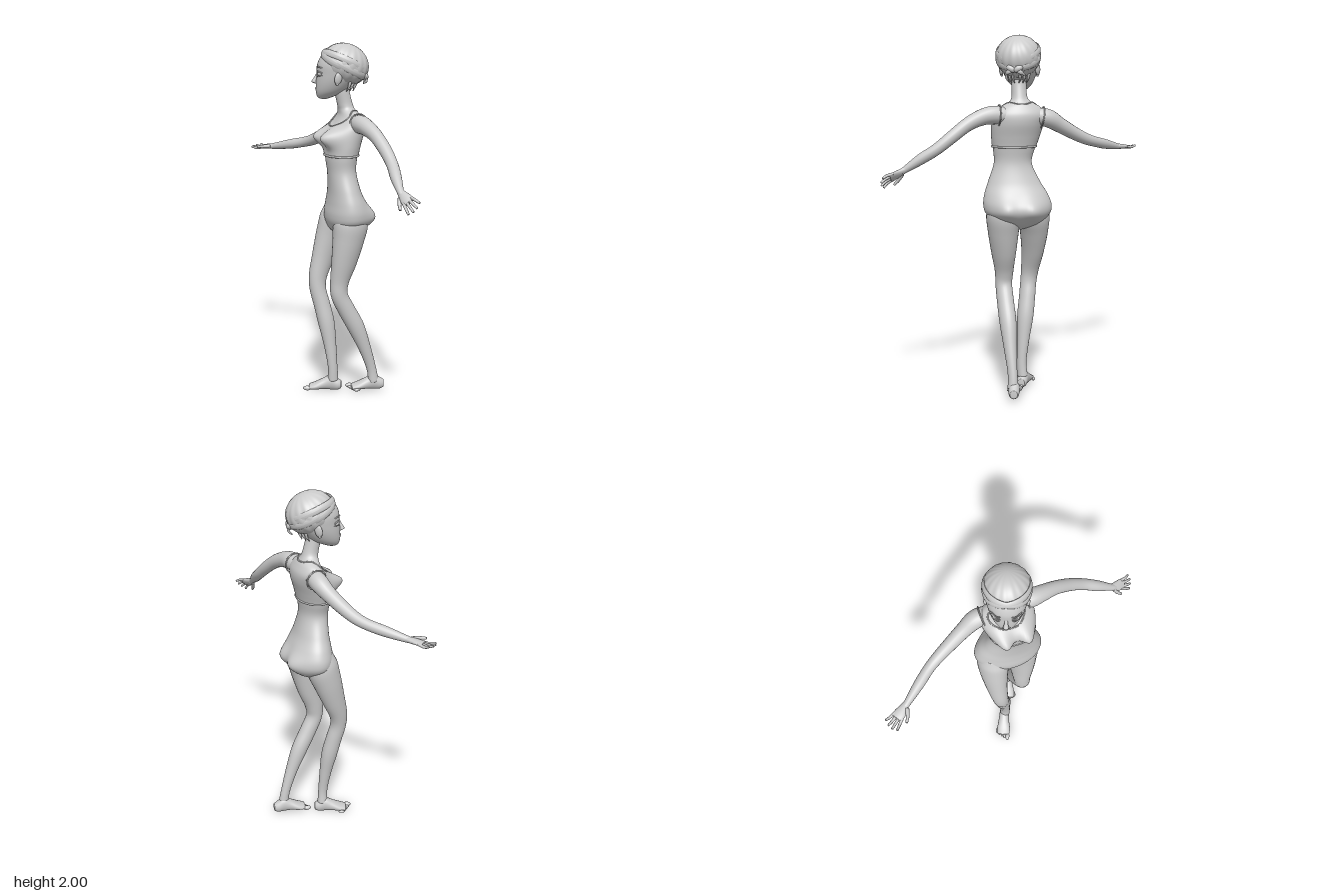
import * as THREE from 'three';

const V = (x, y, z) => new THREE.Vector3(x, y, z);
const mat = new THREE.MeshStandardMaterial({ color: 0xcccccc, roughness: 0.8, side: THREE.DoubleSide });
const DEG = Math.PI / 180;

function add(parent, name, geo) {
  const m = new THREE.Mesh(geo, mat);
  m.name = name;
  parent.add(m);
  return m;
}

// Smooth surface from fn(angle, v), closed around the angle
function grid(fn, nu, nv) {
  const pos = [], idx = [];
  for (let j = 0; j <= nv; j++) for (let i = 0; i < nu; i++) pos.push(...fn((i / nu) * Math.PI * 2, j / nv).toArray());
  for (let j = 0; j < nv; j++) for (let i = 0; i < nu; i++) {
    const k = (i + 1) % nu, a = j * nu + i, b = j * nu + k, c = b + nu, d = a + nu;
    idx.push(a, b, c, a, c, d);
  }
  const g = new THREE.BufferGeometry();
  g.setAttribute('position', new THREE.Float32BufferAttribute(pos, 3));
  g.setIndex(idx);
  g.computeVertexNormals();
  return g;
}

const spline = (pts) => new THREE.CatmullRomCurve3(pts, false, 'catmullrom', 0.5);

// Elliptical sweep through [x, y, z, side radius, radius along ref]; rounded ends
function sweep(rows, ref, nu = 20, fixedT = null) {
  const path = spline(rows.map((r) => V(r[0], r[1], r[2])));
  const rad = spline(rows.map((r) => V(r[3], r[4] ?? r[3], 0)));
  const nv = rows.length * 7;
  return grid((u, v) => {
    const t = 0.5 - 0.5 * Math.cos(v * Math.PI);
    const cap = Math.sqrt(Math.min(1, Math.sin(v * Math.PI) * 5 + 1e-5));
    const T = fixedT ?? path.getTangent(t), c = path.getPoint(t), r = rad.getPoint(t);
    const N = T.clone().cross(ref).normalize(), B = N.clone().cross(T);
    return c.addScaledVector(N, Math.sin(u) * r.x * cap).addScaledVector(B, Math.cos(u) * r.y * cap);
  }, nu, nv);
}

function ball(parent, name, p, s, seg = 16) {
  const m = add(parent, name, new THREE.SphereGeometry(1, seg, seg));
  m.position.set(...p);
  m.scale.set(...s);
  return m;
}

// Torso cross-sections: height, centre x, centre z, half width, half depth
const RINGS = [
  [0.935, 0.035, -0.06, 0.02, 0.02], [0.97, 0.04, -0.06, 0.11, 0.08], [1.02, 0.05, -0.06, 0.175, 0.112],
  [1.07, 0.053, -0.058, 0.19, 0.118], [1.13, 0.057, -0.05, 0.177, 0.105], [1.2, 0.06, -0.035, 0.145, 0.088],
  [1.3, 0.058, -0.02, 0.106, 0.078], [1.38, 0.052, -0.022, 0.116, 0.085], [1.45, 0.05, -0.035, 0.13, 0.09],
  [1.52, 0.05, -0.055, 0.14, 0.092], [1.57, 0.05, -0.075, 0.14, 0.075], [1.61, 0.048, -0.078, 0.108, 0.056],
  [1.64, 0.044, -0.07, 0.06, 0.046], [1.67, 0.042, -0.06, 0.043, 0.043], [1.74, 0.035, -0.045, 0.041, 0.041],
  [1.79, 0.035, -0.045, 0.04, 0.04],
];
const LAST = RINGS.length - 1;
const core = spline(RINGS.map((r) => V(r[1], r[0], r[2])));
const size = spline(RINGS.map((r) => V(r[3], r[4], 0)));

// Point on the torso at an angle (0 = front) and a ring number
function torsoPoint(u, ring, off = 0) {
  const t = Math.min(1, ring / LAST), c = core.getPoint(t), s = size.getPoint(t);
  const x = Math.sin(u) * (s.x + off);
  let z = Math.cos(u) * (s.y + off);
  const front = THREE.MathUtils.smoothstep(Math.cos(u), 0, 0.6);
  const back = THREE.MathUtils.smoothstep(-Math.cos(u), 0, 0.6);
  for (const sx of [-1, 1]) {
    z += 0.072 * front * Math.exp(-((x - sx * 0.066) ** 2 + (c.y - 1.495) ** 2) / 0.0024);
    z -= 0.042 * back * Math.exp(-((x - sx * 0.075) ** 2 + (c.y - 1.045) ** 2) / 0.0042);
  }
  const yaw = -(30 - 5 * THREE.MathUtils.smoothstep(c.y, 1.2, 1.5)) * DEG;
  return V(x, 0, z).applyAxisAngle(V(0, 1, 0), yaw).add(c);
}

function buildTorso(g) {
  add(g, 'torso', grid((u, v) => torsoPoint(u, v * LAST), 72, 120));
  // Sports top: offset shell with a scooped neckline
  const neck = (u) => 10.6 - 1.0 * Math.cos(u) + 1.1 * Math.sin(u) ** 2;
  const low = 7.2;
  add(g, 'sportsTop', grid((u, v) => torsoPoint(u, low + v * (neck(u) - low), 0.005), 72, 40));
  const hem = (name, f, r) => {
    const pts = Array.from({ length: 48 }, (_, i) => torsoPoint((i / 48) * Math.PI * 2, f((i / 48) * Math.PI * 2), 0.004));
    add(g, name, new THREE.TubeGeometry(new THREE.CatmullRomCurve3(pts, true), 120, r, 8, true));
  };
  hem('topLowerHem', () => low, 0.006);
  hem('topNeckHem', neck, 0.004);
}

// Hand: palm, four two-jointed fingers and a thumb; dir = fingers, side = thumb edge
function buildHand(g, name, wrist, dir, side) {
  const h = new THREE.Group();
  h.name = name;
  const X = dir.clone().normalize(), Y = side.clone().cross(X).normalize(), Z = X.clone().cross(Y);
  h.matrixAutoUpdate = false;
  h.matrix.makeBasis(X, Y, Z).setPosition(wrist);
  const up = V(0, 1, 0);
  add(h, 'palm', sweep([[-0.015, 0, 0, 0.017, 0.015], [0.02, 0, 0, 0.024, 0.015], [0.055, 0, 0, 0.032, 0.013], [0.085, 0, -0.002, 0.028, 0.009]], up));
  for (let i = 0; i < 4; i++) {
    const z = 0.023 - i * 0.0155, L = [0.066, 0.074, 0.07, 0.054][i], fan = (1.4 - i) * 0.009;
    add(h, 'finger', sweep([[0.062, 0, z, 0.0085], [0.07 + L * 0.5, 0.003, z + fan * 0.6, 0.0078], [0.07 + L, -0.007, z + fan * 1.2, 0.006]], up, 10));
  }
  add(h, 'thumb', sweep([[0.012, -0.003, 0.015, 0.012], [0.045, -0.007, 0.042, 0.0095], [0.078, -0.01, 0.058, 0.0065]], up, 10));
  g.add(h);
}

function buildArms(g) {
  const arms = {
    left: [[0.12, 1.565, -0.06, 0.045], [0.195, 1.57, -0.03, 0.05], [0.26, 1.558, -0.012, 0.044], [0.34, 1.522, 0.003, 0.037],
      [0.43, 1.455, 0.025, 0.034], [0.505, 1.393, 0.055, 0.031], [0.575, 1.34, 0.103, 0.029], [0.645, 1.285, 0.148, 0.018], [0.665, 1.27, 0.155, 0.016]],
    right: [[-0.01, 1.565, -0.115, 0.045], [-0.085, 1.55, -0.15, 0.05], [-0.16, 1.51, -0.163, 0.042], [-0.26, 1.46, -0.17, 0.036],
      [-0.34, 1.427, -0.172, 0.032], [-0.41, 1.408, -0.166, 0.029], [-0.5, 1.39, -0.145, 0.028], [-0.61, 1.37, -0.118, 0.019], [-0.635, 1.366, -0.112, 0.016]],
  };
  for (const k in arms) {
    const rows = arms[k], [a, b] = [V(...rows[0]), V(...rows[1])];
    add(g, k + 'Arm', sweep(rows, V(0, 0, 1)));
    // Armhole edge of the top
    const ring = add(g, k + 'ArmholeHem', new THREE.TorusGeometry(0.054, 0.004, 8, 40));
    ring.position.copy(a.clone().lerp(b, 0.62));
    ring.quaternion.setFromUnitVectors(V(0, 0, 1), b.clone().sub(a).normalize());
    ring.scale.set(1, 1.05, 1);
  }
  buildHand(g, 'leftHand', V(0.652, 1.28, 0.15), V(0.85, -0.45, 0.24), V(-0.3, -0.7, 0.6));
  buildHand(g, 'rightHand', V(-0.625, 1.368, -0.115), V(-0.97, -0.09, 0.22), V(0.2, -0.1, 1));
}

// Foot runs along local +z from the heel; inner = side of the big toe
function buildFoot(g, name, heel, yaw, inner) {
  const f = new THREE.Group();
  f.name = name;
  f.position.set(...heel);
  f.rotation.y = yaw * DEG;
  add(f, 'footBody', sweep([[0, 0.032, -0.004, 0.02, 0.022], [0, 0.035, 0.02, 0.029, 0.035], [0, 0.046, 0.055, 0.031, 0.046], [0, 0.037, 0.095, 0.034, 0.035],
    [inner * 0.003, 0.023, 0.145, 0.041, 0.022], [inner * 0.004, 0.016, 0.185, 0.036, 0.013]], V(0, 1, 0), 24, V(0, 0, 1)));
  for (let i = 0; i < 5; i++) {
    const r = i ? 0.0095 - i * 0.0004 : 0.0135;
    ball(f, 'toe', [inner * (0.031 - i * 0.0165 - (i ? 0.003 : 0)), r + 0.001, 0.193 - i * 0.009], [r, r, 0.024 - i * 0.001], 12);
  }
  g.add(f);
}

function buildLegs(g) {
  const Z = V(0, 0, 1);
  add(g, 'leftLeg', sweep([[0.125, 1.1, -0.03, 0.07, 0.07], [0.125, 1.02, -0.025, 0.093, 0.1], [0.118, 0.92, -0.012, 0.083, 0.092], [0.104, 0.8, 0.005, 0.066, 0.077],
    [0.088, 0.69, 0.024, 0.051, 0.056], [0.088, 0.61, 0.027, 0.046, 0.049], [0.104, 0.52, -0.012, 0.046, 0.05], [0.126, 0.41, -0.068, 0.045, 0.05],
    [0.147, 0.28, -0.118, 0.034, 0.037], [0.161, 0.15, -0.16, 0.026, 0.029], [0.168, 0.06, -0.175, 0.029, 0.032]], Z, 28));
  add(g, 'rightLeg', sweep([[-0.035, 1.1, -0.085, 0.07, 0.07], [-0.045, 1.02, -0.075, 0.087, 0.095], [-0.066, 0.92, -0.05, 0.075, 0.088], [-0.083, 0.8, -0.015, 0.059, 0.073],
    [-0.092, 0.69, 0.02, 0.049, 0.056], [-0.086, 0.61, 0.028, 0.045, 0.048], [-0.067, 0.52, 0.015, 0.045, 0.048], [-0.044, 0.41, 0.001, 0.045, 0.048],
    [-0.023, 0.28, -0.008, 0.034, 0.037], [-0.008, 0.15, -0.014, 0.026, 0.029], [-0.01, 0.06, -0.02, 0.029, 0.032]], Z, 28));
  buildFoot(g, 'leftFoot', [0.197, 0.016, -0.222], -38, -1);
  buildFoot(g, 'rightFoot', [0.022, 0.005, -0.05], -49, 1);
}

function buildHead(g) {
  const h = new THREE.Group();
  h.name = 'head';
  h.position.set(0.035, 0, -0.045);
  h.rotation.y = -46 * DEG;
  add(h, 'face', sweep([[0, 1.698, 0.1, 0.012, 0.014], [0, 1.708, 0.094, 0.032, 0.04], [0, 1.737, 0.066, 0.062, 0.077], [0, 1.78, 0.043, 0.085, 0.1], [0, 1.83, 0.022, 0.1, 0.117],
    [0, 1.89, 0.01, 0.106, 0.124], [0, 1.945, 0, 0.085, 0.1], [0, 1.975, -0.01, 0.03, 0.03]], V(0, 0, 1), 40, V(0, 1, 0)));
  add(h, 'nose', sweep([[0, 1.845, 0.13, 0.008, 0.006], [0, 1.815, 0.143, 0.009, 0.01], [0, 1.792, 0.153, 0.014, 0.014], [0, 1.782, 0.14, 0.012, 0.01]], V(0, 0, 1), 14, V(0, -1, 0)));
  ball(h, 'upperLip', [0, 1.757, 0.137], [0.024, 0.006, 0.011]);
  ball(h, 'lowerLip', [0, 1.747, 0.134], [0.019, 0.007, 0.012]);
  for (const s of [-1, 1]) {
    ball(h, 'eye', [s * 0.046, 1.836, 0.113], [0.021, 0.014, 0.02]);
    const arc = (y, lift, r, name) => add(h, name, new THREE.TubeGeometry(
      spline([V(s * 0.022, y, 0.128), V(s * 0.045, y + lift, 0.134), V(s * 0.074, y + lift * 0.3, 0.104)]), 16, r, 8));
    arc(1.837, 0.013, 0.004, 'upperLid');
    arc(1.833, -0.01, 0.0025, 'lowerLid');
    arc(1.864, 0.012, 0.0035, 'brow');
    ball(h, 'ear', [s * 0.102, 1.815, 0.018], [0.011, 0.034, 0.021]).rotation.set(-0.2, s * 0.35, 0);
    ball(h, 'earLobe', [s * 0.1, 1.786, 0.024], [0.008, 0.011, 0.009]);
  }
  // Swept-up hair with soft strands, tilted back from the forehead
  const hair = add(h, 'hair', grid((u, v) => {
    const p = -Math.PI / 2 + v * Math.PI, c = Math.cos(p) * (1 + 0.012 * Math.sin(u * 16 + v * 5));
    return V(Math.sin(u) * c * 0.122, Math.sin(p) * 0.112, Math.cos(u) * c * 0.131);
  }, 128, 40));
  hair.position.set(0, 1.886, -0.016);
  hair.rotation.x = -0.38;
  // Flat wrapped bands crossing over the forehead
  for (const [tilt, roll, y] of [[-0.42, 0.2, 1.896], [-0.42, -0.2, 1.896], [-0.5, 0, 1.88]]) {
    const band = add(h, 'headBand', grid((u, v) => {
      const q = v * Math.PI * 2, r = 1 + 0.06 * Math.cos(q);
      return V(Math.sin(u) * 0.117 * r, -Math.sin(q) * -0.019, Math.cos(u) * 0.128 * r);
    }, 64, 14));
    band.position.set(0, y, -0.012);
    band.rotation.set(tilt, 0, roll);
  }
  // Knot and loose curls at the nape
  for (const s of [-1, 1]) {
    ball(h, 'knot', [s * 0.019, 1.818, -0.126], [0.028, 0.018, 0.018]).rotation.z = s * 0.5;
    add(h, 'knotEnd', sweep([[s * 0.01, 1.815, -0.13, 0.011, 0.006], [s * 0.035, 1.8, -0.133, 0.012, 0.006], [s * 0.055, 1.785, -0.115, 0.004, 0.003]], V(0, 0, 1), 10));
    for (let i = 0; i < 3; i++) {
      add(h, 'curl', sweep([[s * (0.015 + i * 0.025), 1.81, -0.085 + i * 0.018, 0.011], [s * (0.02 + i * 0.02), 1.77, -0.07 + i * 0.015, 0.007], [s * (0.012 + i * 0.018), 1.742, -0.06 + i * 0.018, 0.002]], V(0, 0, 1), 8));
    }
  }
  g.add(h);
}

export function createModel() {
  const g = new THREE.Group();
  g.name = 'woman';
  buildTorso(g);
  buildArms(g);
  buildLegs(g);
  buildHead(g);
  return g;
}
